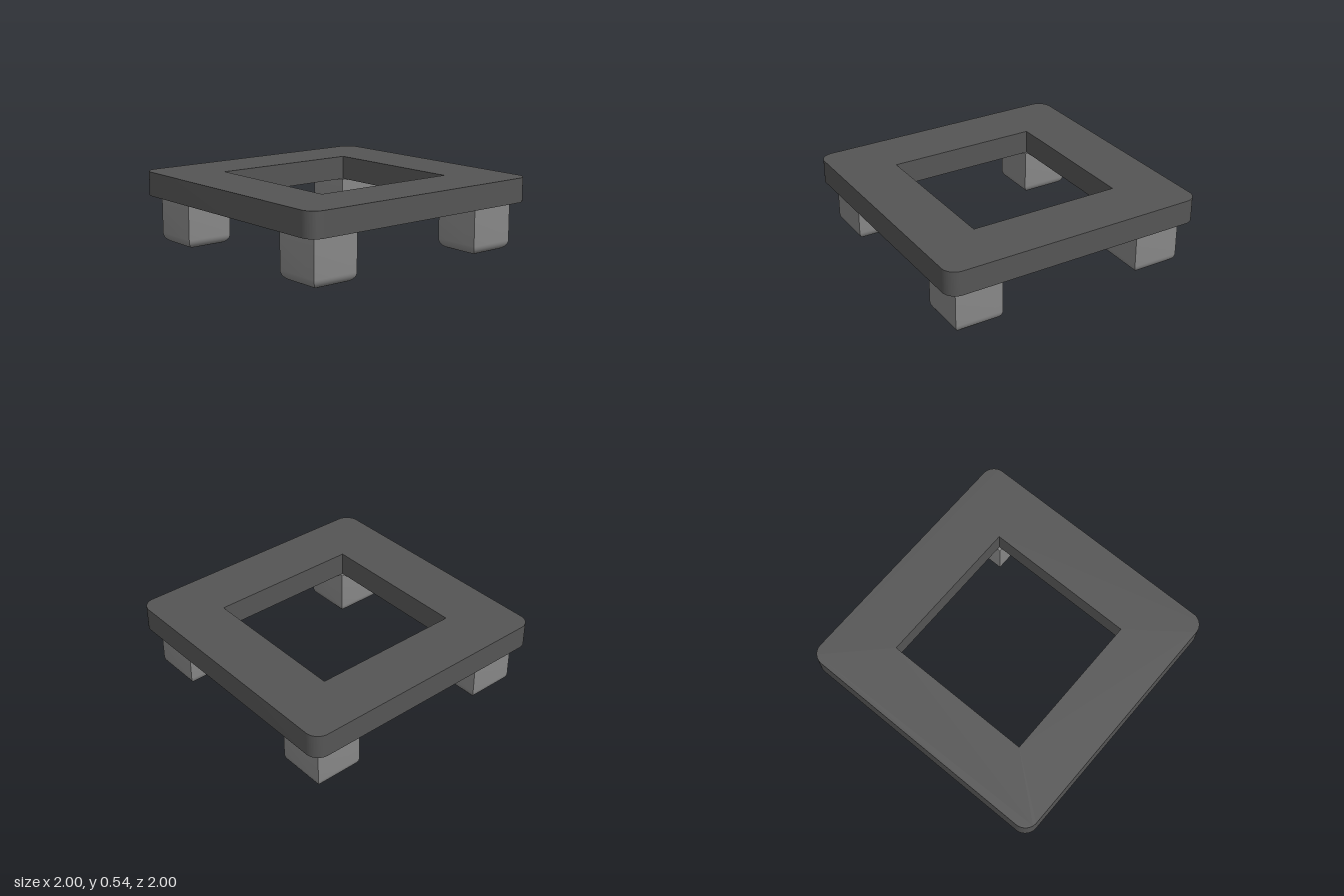
import * as THREE from 'three';
import { toCreasedNormals } from 'three/addons/utils/BufferGeometryUtils.js';

const LEG_HEIGHT = 0.36;
const FRAME_HEIGHT = 0.18;

// Square slab with rounded outer corners and a sharp square opening
function frameGeometry(half, radius, hole) {
  const c = half - radius;
  const shape = new THREE.Shape();
  shape.absarc(c, c, radius, 0, Math.PI / 2);
  shape.absarc(-c, c, radius, Math.PI / 2, Math.PI);
  shape.absarc(-c, -c, radius, Math.PI, Math.PI * 1.5);
  shape.absarc(c, -c, radius, Math.PI * 1.5, Math.PI * 2);
  shape.closePath();

  const opening = new THREE.Path();
  opening.moveTo(-hole, -hole);
  opening.lineTo(-hole, hole);
  opening.lineTo(hole, hole);
  opening.lineTo(hole, -hole);
  opening.closePath();
  shape.holes.push(opening);

  const geometry = new THREE.ExtrudeGeometry(shape, {
    depth: FRAME_HEIGHT, bevelEnabled: false, curveSegments: 12,
  });
  geometry.rotateX(-Math.PI / 2);
  return toCreasedNormals(geometry, 0.6);
}

// Square block with sharp upright edges and a rounded bottom rim
function legGeometry(half, radius) {
  const profile = [new THREE.Vector2(0, 0)];
  const steps = 10;
  for (let i = 0; i <= steps; i++) {
    const a = (i / steps) * Math.PI / 2;
    const reach = half - radius + radius * Math.sin(a);
    profile.push(new THREE.Vector2(reach * Math.SQRT2, radius * (1 - Math.cos(a))));
  }
  profile.push(new THREE.Vector2(half * Math.SQRT2, LEG_HEIGHT));
  profile.push(new THREE.Vector2(0, LEG_HEIGHT));
  const geometry = new THREE.LatheGeometry(profile, 4);
  geometry.rotateY(Math.PI / 4);
  return toCreasedNormals(geometry, 0.6);
}

export function createModel() {
  const model = new THREE.Group();
  const frameMaterial = new THREE.MeshStandardMaterial({ color: 0x555555 });
  const legMaterial = new THREE.MeshStandardMaterial({ color: 0x888888 });

  const frame = new THREE.Mesh(frameGeometry(1, 0.1, 0.57), frameMaterial);
  frame.name = 'frame';
  frame.position.y = LEG_HEIGHT;
  model.add(frame);

  // One leg under each corner
  const leg = legGeometry(0.18, 0.07);
  for (const [zName, z] of [['front', 1], ['back', -1]]) {
    for (const [xName, x] of [['Left', 1], ['Right', -1]]) {
      const mesh = new THREE.Mesh(leg, legMaterial);
      mesh.name = `${zName}${xName}Leg`;
      mesh.position.set(x * 0.727, 0, z * 0.727);
      model.add(mesh);
    }
  }
  return model;
}
